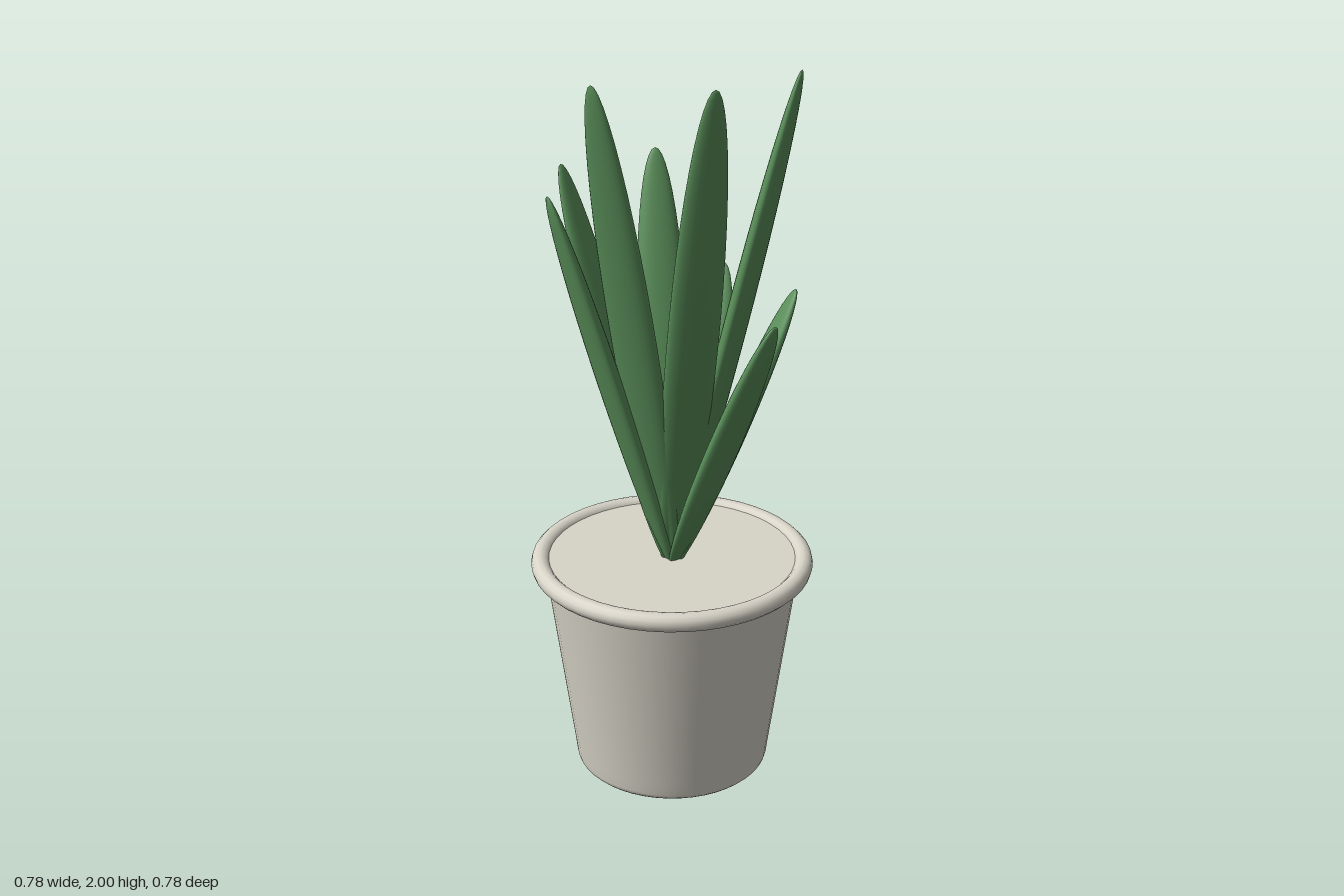
import * as THREE from 'three';

const potMaterial = new THREE.MeshStandardMaterial({ color: 0xd8d4c8 });
potMaterial.name = 'warm grey pot';
const leafMaterial = new THREE.MeshStandardMaterial({ color: 0x5a8f5a });
leafMaterial.name = 'leaf green';

const LEAF_BASE = 0.58;                 // leaves start just below the fill
const LEAF_TIPS = [1.37, 1.685, 2.0];   // three repeating heights
const LEAF_REACH = 0.337;               // horizontal distance of each tip
const GOLDEN_ANGLE = THREE.MathUtils.degToRad(137.5);

function mesh(name, geometry, material, parent) {
  const m = new THREE.Mesh(geometry, material);
  m.name = name;
  parent.add(m);
  return m;
}

// Tapered pot with a softened foot, a rolled rim and a flat fill
function createPot() {
  const pot = new THREE.Group();
  pot.name = 'pot';

  const profile = [
    [0, 0], [0.25, 0], [0.262, 0.002], [0.268, 0.008], [0.271, 0.018], [0.275, 0.05], [0.35, 0.6],
  ].map(([r, y]) => new THREE.Vector2(r, y));
  mesh('potBody', new THREE.LatheGeometry(profile, 48), potMaterial, pot);

  const rim = mesh('potRim', new THREE.TorusGeometry(0.362, 0.026, 12, 48), potMaterial, pot);
  rim.rotation.x = Math.PI / 2;
  rim.position.y = 0.61;

  const fill = mesh('potFill', new THREE.CircleGeometry(0.355, 48), potMaterial, pot);
  fill.rotation.x = -Math.PI / 2;
  fill.position.y = 0.623;
  return pot;
}

// Flattened ellipsoid leaf leaning outward from the centre
function createLeaf(index) {
  const rise = LEAF_TIPS[index % 3] - LEAF_BASE;
  const halfLength = Math.hypot(rise, LEAF_REACH) / 2;
  const geometry = new THREE.SphereGeometry(1, 24, 24);
  geometry.scale(0.028, halfLength, 0.07);
  geometry.translate(0, halfLength, 0);
  geometry.rotateZ(-Math.atan2(LEAF_REACH, rise));

  const leaf = new THREE.Mesh(geometry, leafMaterial);
  leaf.name = `leaf${index + 1}`;
  leaf.position.y = LEAF_BASE;
  leaf.rotation.y = index * GOLDEN_ANGLE;
  return leaf;
}

export function createModel() {
  const model = new THREE.Group();
  model.name = 'pottedPlant';
  model.add(createPot());

  // Nine leaves in a golden-angle spiral
  const leaves = new THREE.Group();
  leaves.name = 'leaves';
  for (let i = 0; i < 9; i++) leaves.add(createLeaf(i));
  model.add(leaves);
  return model;
}
